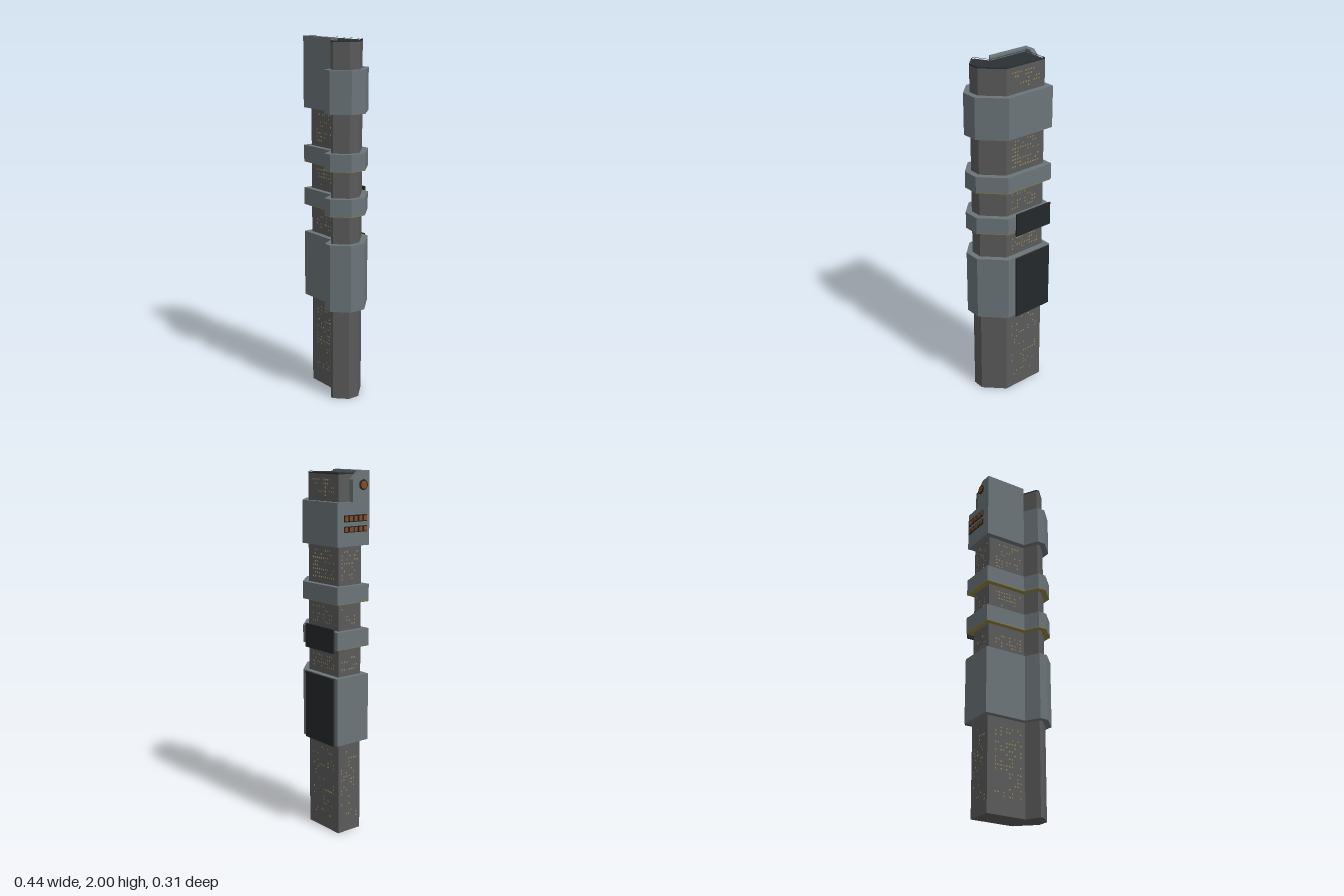
import * as THREE from 'three';
import { mergeGeometries } from 'three/addons/utils/BufferGeometryUtils.js';

const paint = (color) => new THREE.MeshStandardMaterial({ color });

// Plan outlines as [x, z]
const CORE = [[-0.17, -0.108], [0.085, -0.108], [0.19, -0.005], [0.19, 0.062],
  [0.127, 0.125], [0.108, 0.125], [0.065, 0.047], [-0.17, 0.047]];
const ROOF = [[-0.163, -0.101], [0.082, -0.101], [0.183, -0.002], [0.183, 0.059],
  [0.124, 0.118], [0.112, 0.118], [0.069, 0.04], [-0.163, 0.04]];
const BAND = [[-0.2, -0.14], [0.098, -0.14], [0.222, -0.018], [0.222, 0.075],
  [0.14, 0.156], [0.092, 0.156], [0.047, 0.078], [-0.2, 0.078]];

const toVectors = (pts) => pts.map(([x, z]) => new THREE.Vector2(x, -z));

// Upright prism from a plan outline, optionally with an opening
function prism(pts, y0, y1, hole) {
  const shape = new THREE.Shape(toVectors(pts));
  if (hole) shape.holes.push(new THREE.Path(toVectors(hole)));
  const g = new THREE.ExtrudeGeometry(shape, { depth: y1 - y0, bevelEnabled: false });
  return g.rotateX(-Math.PI / 2).translate(0, y0, 0);
}

const box = (w, h, d, x, y, z) => new THREE.BoxGeometry(w, h, d).translate(x, y, z);

function seeded(seed) {
  return () => (seed = (seed * 16807) % 2147483647) / 2147483647;
}

export function createModel() {
  const group = new THREE.Group();
  const grey = paint(0x5a5a5a), steel = paint(0x6b7478), dark = paint(0x2b3032);
  const black = paint(0x25282a), glow = paint(0x938a58), orange = paint(0x8a4a20);
  const add = (name, geometry, material) => {
    const mesh = new THREE.Mesh(geometry, material);
    mesh.name = name;
    group.add(mesh);
    return mesh;
  };

  // Tower shaft and recessed roof
  add('shaft', prism(CORE, 0, 1.982), grey);
  add('roofRim', prism(CORE, 1.982, 1.99, ROOF), dark);
  add('roofDeck', prism(ROOF, 1.98, 1.985), dark);

  // Cladding bands
  const bands = [[0.525, 0.903], [1.063, 1.157], [1.308, 1.4], [1.61, 1.84]];
  bands.forEach(([y0, y1]) => add('claddingBand', prism(BAND, y0, y1), steel));

  // Light strips under the two narrow bands
  [1.06, 1.305].forEach((y) => add('lightStrip', prism(BAND, y, y + 0.003), paint(0x8f8440)));

  // Parapet above the top band: front wall and chamfered side wall
  add('frontParapet', prism([[-0.2, 0.047], [0.065, 0.047], [0.047, 0.078], [-0.2, 0.078]], 1.84, 2), steel);
  const side = new THREE.Shape([[-0.035, 1.84], [0.047, 1.84], [0.047, 2], [0.01, 2], [-0.035, 1.955]]
    .map(([z, y]) => new THREE.Vector2(z, y)));
  add('sideParapet', new THREE.ExtrudeGeometry(side, { depth: 0.03, bevelEnabled: false })
    .rotateY(-Math.PI / 2).translate(-0.17, 0, 0), steel);

  // Screens standing just off the back
  [[0.525, 0.903], [1.043, 1.175]].forEach(([y0, y1]) => {
    add('backScreen', box(0.24, y1 - y0, 0.009, -0.065, (y0 + y1) / 2, -0.153), black);
  });

  // Small lit windows on the front, back and side
  const rnd = seeded(4711);
  const windows = [];
  const fill = (u0, u1, y0, y1, chance, place) => {
    for (let y = y0; y <= y1; y += 0.0205) {
      const rowChance = chance * (0.3 + 1.2 * rnd());
      for (let u = u0; u <= u1; u += 0.0175) {
        if (rnd() < rowChance) windows.push(place(u, y));
      }
    }
  };
  const s = 0.008, t = 0.002;
  const floors = [[0.08, 0.49, 0.3], [0.94, 1.02, 0.45], [1.19, 1.28, 0.45], [1.435, 1.585, 0.5]];
  const upper = [1.87, 1.955, 0.45];
  floors.forEach(([a, b, c]) => fill(-0.12, 0.05, a, b, c, (u, y) => box(s, s, t, u, y, 0.047)));
  [...floors, upper].forEach(([a, b, c]) => {
    fill(-0.13, 0.05, a, b, c, (u, y) => box(s, s, t, u, y, -0.108));
  });
  floors.forEach(([a, b, c]) => fill(-0.085, 0.03, a, b, c, (u, y) => box(t, s, s, -0.17, y, u)));
  add('litWindows', mergeGeometries(windows), glow);

  // Round lamp on the side parapet
  const lamp = new THREE.Group();
  lamp.name = 'sideLamp';
  const rim = new THREE.Mesh(new THREE.TorusGeometry(0.023, 0.005, 8, 24).rotateY(Math.PI / 2), black);
  const lens = new THREE.Mesh(new THREE.CylinderGeometry(0.02, 0.02, 0.012, 24).rotateZ(Math.PI / 2), orange);
  rim.name = 'lampRim';
  lens.name = 'lampLens';
  lamp.add(rim, lens);
  lamp.position.set(-0.216, 1.928, 0.022);
  group.add(lamp);

  // Two rows of plain indicator blocks on the side
  [[1.757, 0.036, 5], [1.701, 0.032, 5]].forEach(([y, h, n]) => {
    const pitch = 0.16 / n;
    for (let i = 0; i < n; i++) {
      const z = -0.11 + pitch * (i + 0.5);
      add('indicatorFrame', box(0.007, h, pitch * 0.8, -0.215, y, z), black);
      add('indicatorLight', box(0.008, h * 0.7, pitch * 0.6, -0.216, y, z), orange);
    }
  });

  return group;
}
